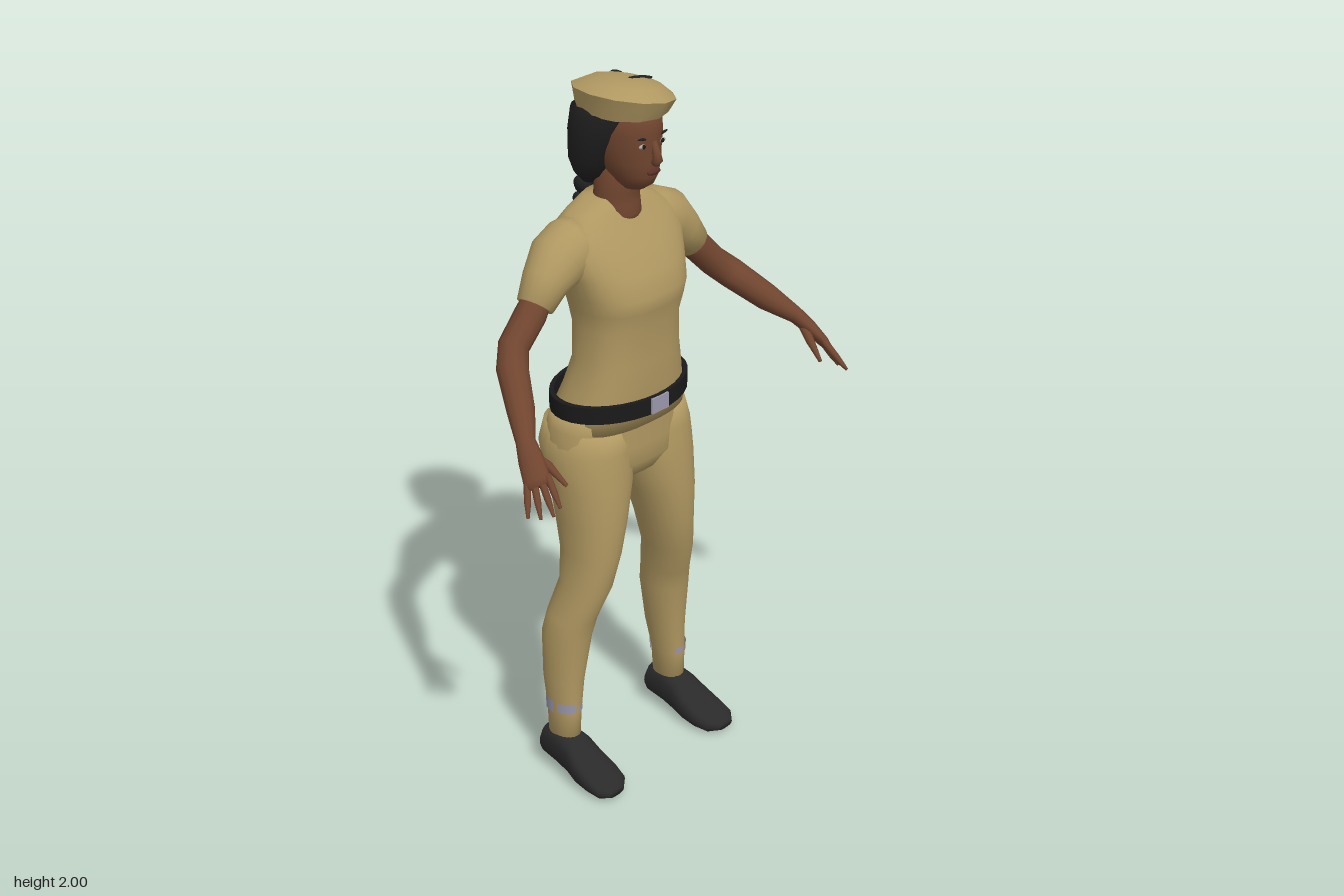
import * as THREE from 'three';
import { toCreasedNormals } from 'three/addons/utils/BufferGeometryUtils.js';

const V = (x, y, z) => new THREE.Vector3(x, y, z);

// Closed skin over rings of points, with both ends capped and faces outward
function skinRings(rings) {
  const n = rings[0].length, pos = [], idx = [];
  rings.forEach(r => r.forEach(p => pos.push(p.x, p.y, p.z)));
  for (let i = 0; i < rings.length - 1; i++) {
    for (let j = 0; j < n; j++) {
      const a = i * n + j, b = i * n + (j + 1) % n;
      idx.push(a, b, a + n, b, b + n, a + n);
    }
  }
  [0, rings.length - 1].forEach((i, end) => {
    const c = rings[i].reduce((s, p) => s.add(p), V(0, 0, 0)).divideScalar(n);
    const k = pos.length / 3;
    pos.push(c.x, c.y, c.z);
    for (let j = 0; j < n; j++) {
      const a = i * n + j, b = i * n + (j + 1) % n;
      if (end) idx.push(a, b, k); else idx.push(b, a, k);
    }
  });
  const at = i => V(pos[3 * i], pos[3 * i + 1], pos[3 * i + 2]);
  let volume = 0;
  for (let i = 0; i < idx.length; i += 3) volume += at(idx[i]).dot(at(idx[i + 1]).cross(at(idx[i + 2])));
  if (volume < 0) idx.reverse();
  const g = new THREE.BufferGeometry();
  g.setAttribute('position', new THREE.Float32BufferAttribute(pos, 3));
  g.setIndex(idx);
  g.computeVertexNormals();
  return g;
}

// Rounded sections [t, x0, x1, w0, w1] stacked along y (w = z) or along z (w = y)
function loft(rows, power = 2, n = 24, axis = 'y') {
  const bend = v => Math.sign(v) * Math.abs(v) ** (2 / power);
  return skinRings(rows.map(([t, x0, x1, w0, w1]) => Array.from({ length: n }, (_, j) => {
    const a = j / n * Math.PI * 2;
    const x = (x0 + x1) / 2 + (x1 - x0) / 2 * bend(Math.cos(a));
    const w = (w0 + w1) / 2 + (w1 - w0) / 2 * bend(Math.sin(a));
    return axis === 'y' ? V(x, t, w) : V(x, w, t);
  })));
}
const even = rows => rows.map(([y, h, z0, z1]) => [y, -h, h, z0, z1]);

// Limb through points [x, y, z, radius, thickness]
const across = V(0.62, -0.39, -0.68);
function limb(pts, n = 12) {
  const c = pts.map(p => V(p[0], p[1], p[2]));
  return skinRings(pts.map((p, i) => {
    const t = c[Math.min(i + 1, c.length - 1)].clone().sub(c[Math.max(i - 1, 0)]).normalize();
    const u = across.clone().addScaledVector(t, -across.dot(t)).normalize();
    const v = t.clone().cross(u);
    return Array.from({ length: n }, (_, j) => {
      const a = j / n * Math.PI * 2;
      return c[i].clone().addScaledVector(u, Math.cos(a) * p[3]).addScaledVector(v, Math.sin(a) * (p[4] ?? p[3]));
    });
  }));
}

function mirror(geo) {
  const g = geo.clone().scale(-1, 1, 1);
  g.setIndex(Array.from(g.index.array).reverse());
  return g;
}
const blob = (x, y, z, rx, ry, rz, tilt = 0) =>
  new THREE.SphereGeometry(1, 12, 8).scale(rx, ry, rz).rotateZ(tilt).translate(x, y, z);

export function createModel() {
  const model = new THREE.Group();
  const paint = (name, color, side = THREE.FrontSide) => {
    const m = new THREE.MeshStandardMaterial({ color, side });
    m.name = name;
    return m;
  };
  const khaki = paint('khaki', 0xb09861), skin = paint('skin', 0x70452f), hair = paint('hair', 0x202020);
  const black = paint('belt black', 0x1a1a1a), leather = paint('shoe leather', 0x2a2a2b);
  const silver = paint('silver', 0x9c98ae, THREE.DoubleSide), lip = paint('lip', 0x5a3027);
  const white = paint('eye white', 0xb0a49c);
  const add = (name, geo, mat) => {
    const m = new THREE.Mesh(geo, mat);
    m.name = name;
    model.add(m);
  };
  const pair = (name, geo, mat) => {
    add(name + 'Left', geo, mat);
    add(name + 'Right', mirror(geo), mat);
  };

  // Shirt and sleeves
  add('shirt', loft(even([
    [1.06, 0.203, -0.217, 0.036], [1.12, 0.19, -0.205, 0.042], [1.17, 0.174, -0.187, 0.05],
    [1.25, 0.156, -0.162, 0.05], [1.35, 0.151, -0.167, 0.054], [1.4, 0.16, -0.178, 0.067],
    [1.44, 0.17, -0.186, 0.072], [1.5, 0.185, -0.195, 0.05], [1.56, 0.205, -0.2, 0.016],
    [1.61, 0.195, -0.195, -0.015], [1.65, 0.135, -0.18, -0.042], [1.68, 0.075, -0.165, -0.055],
  ]), 2.5, 32), khaki);
  pair('sleeve', limb([
    [0.1, 1.575, -0.112, 0.075], [0.15, 1.563, -0.108, 0.083], [0.2, 1.545, -0.104, 0.08],
    [0.25, 1.502, -0.1, 0.062], [0.293, 1.452, -0.093, 0.049],
  ], 16), khaki);

  // Trousers
  add('hips', loft(even([
    [1.1, 0.2, -0.213, 0.034], [1.06, 0.212, -0.226, 0.034], [1, 0.224, -0.222, 0.033],
    [0.95, 0.215, -0.195, 0.033], [0.905, 0.12, -0.15, 0.01], [0.89, 0.05, -0.12, -0.02],
  ]), 2.4, 32), khaki);
  pair('trouserLeg', loft([
    [1.06, 0.01, 0.208, -0.222, 0.025], [1, 0.004, 0.226, -0.232, 0.034], [0.95, 0.004, 0.229, -0.216, 0.038],
    [0.9, 0.012, 0.227, -0.192, 0.042], [0.8, 0.045, 0.221, -0.165, 0.046], [0.7, 0.073, 0.215, -0.145, 0.04],
    [0.6, 0.1, 0.224, -0.136, 0.025], [0.5, 0.124, 0.248, -0.16, -0.01], [0.44, 0.131, 0.26, -0.17, -0.024],
    [0.3, 0.155, 0.256, -0.165, -0.04], [0.2, 0.174, 0.25, -0.151, -0.041], [0.12, 0.176, 0.25, -0.145, -0.045],
  ], 2.1), khaki);

  // Broken ankle bands: [start angle, arc, height, y]
  const bands = [[-0.5, 0.5, 0.02, 0.215], [0.25, 1.1, 0.03, 0.218], [1.6, 0.7, 0.04, 0.215], [2.7, 1, 0.07, 0.21]];
  bands.forEach(([start, arc, h, y], i) => pair('ankleBand' + i,
    new THREE.CylinderGeometry(1.03, 1, h, 8, 1, true, start, arc)
      .scale(0.041, 1, 0.059).translate(0.212, y, -0.097), silver));

  // Shoes
  pair('shoe', loft([
    [-0.165, 0.185, 0.245, 0.04, 0.09], [-0.15, 0.175, 0.255, 0.028, 0.125], [-0.09, 0.17, 0.263, 0.02, 0.135],
    [-0.04, 0.165, 0.268, 0.01, 0.122], [0, 0.16, 0.278, 0.002, 0.092], [0.05, 0.158, 0.282, 0, 0.066],
    [0.095, 0.168, 0.278, 0, 0.046], [0.12, 0.198, 0.254, 0.008, 0.03],
  ], 2.6, 20, 'z'), leather);

  // Belt standing off the waist, and buckle
  const strap = [[0.2, -0.024], [0.215, -0.024], [0.215, 0.024], [0.2, 0.024], [0.2, -0.024]];
  add('belt', toCreasedNormals(new THREE.LatheGeometry(strap.map(p => new THREE.Vector2(...p)), 32)
    .scale(1, 1, 0.7).translate(-0.003, 1.13, -0.08), 0.7), black);
  add('buckle', new THREE.BoxGeometry(0.062, 0.044, 0.009).translate(-0.005, 1.13, 0.07), silver);

  // Arms and hands
  pair('arm', limb([
    [0.265, 1.482, -0.1, 0.036], [0.31, 1.435, -0.092, 0.042], [0.375, 1.37, -0.088, 0.041],
    [0.415, 1.33, -0.052, 0.042], [0.468, 1.267, 0.03, 0.037], [0.515, 1.218, 0.095, 0.026, 0.023],
    [0.532, 1.188, 0.13, 0.033, 0.02], [0.55, 1.148, 0.17, 0.036, 0.015], [0.554, 1.138, 0.18, 0.03, 0.01],
  ]), skin);
  const tips = [[0.545, 1.1, 0.245], [0.565, 1.083, 0.242], [0.585, 1.073, 0.217], [0.598, 1.068, 0.185]];
  tips.forEach((tip, i) => {
    const base = V(0.548, 1.152, 0.168).addScaledVector(across, (i - 1.5) * 0.018);
    const mid = base.clone().lerp(V(...tip), 0.55);
    pair('finger' + i, limb([[...base.toArray(), 0.01], [...mid.toArray(), 0.009], [...tip, 0.004]], 8), skin);
  });
  pair('thumb', limb([
    [0.522, 1.195, 0.115, 0.014], [0.5, 1.168, 0.16, 0.012], [0.487, 1.125, 0.21, 0.005],
  ], 8), skin);

  // Neck and head
  add('neck', loft(even([
    [1.6, 0.055, -0.14, -0.03], [1.635, 0.064, -0.15, -0.022], [1.66, 0.066, -0.15, -0.03],
    [1.69, 0.06, -0.146, -0.03], [1.78, 0.058, -0.145, -0.02],
  ])), skin);
  add('head', loft(even([
    [1.712, 0.026, -0.06, 0.005], [1.73, 0.043, -0.085, 0.032], [1.755, 0.06, -0.11, 0.042],
    [1.79, 0.073, -0.14, 0.046], [1.83, 0.081, -0.16, 0.046], [1.87, 0.084, -0.17, 0.05],
    [1.93, 0.08, -0.17, 0.045],
  ])), skin);
  add('nose', limb([[0, 1.85, 0.042, 0.008], [0, 1.82, 0.052, 0.011], [0, 1.803, 0.057, 0.013], [0, 1.793, 0.046, 0.012]]), skin);
  add('mouth', blob(0, 1.768, 0.043, 0.024, 0.008, 0.008), lip);
  pair('eye', blob(0.034, 1.842, 0.037, 0.014, 0.006, 0.005), white);
  pair('pupil', blob(0.034, 1.842, 0.041, 0.006, 0.006, 0.003), black);
  pair('eyebrow', blob(0.036, 1.862, 0.039, 0.019, 0.0035, 0.004, 0.15), hair);

  // Hair and braid
  add('hair', loft(even([
    [1.7, 0.045, -0.19, -0.125], [1.735, 0.085, -0.2, -0.075], [1.78, 0.108, -0.21, -0.045],
    [1.85, 0.115, -0.212, -0.005], [1.91, 0.113, -0.205, 0.02], [1.94, 0.09, -0.17, 0.02],
  ])), hair);
  const braidPath = new THREE.CatmullRomCurve3([
    V(0, 1.76, -0.19), V(0, 1.66, -0.197), V(0, 1.52, -0.217), V(0, 1.42, -0.22), V(0, 1.335, -0.21)]);
  for (let i = 0; i < 20; i++) {
    const p = braidPath.getPointAt(i / 19), r = 0.028 - 0.018 * (i / 19) ** 2, s = i % 2 ? 1 : -1;
    add('braidStrand' + i, blob(p.x + s * r * 0.5, p.y, p.z, r * 0.75, r * 1.25, r * 0.9, s * -0.55), hair);
  }
  add('braidTip', new THREE.ConeGeometry(0.012, 0.05, 8).rotateX(Math.PI).translate(0, 1.325, -0.21), hair);

  // Soft cap leaning to the left, with hair showing through the crown
  const cap = loft(even([
    [1.912, 0.105, -0.2, 0.06], [1.958, 0.12, -0.207, 0.083], [1.984, 0.085, -0.155, 0.045], [1.994, 0.045, -0.11, 0],
  ]), 2, 12);
  const cp = cap.attributes.position;
  for (let i = 0; i < cp.count; i++) {
    if (cp.getY(i) > 1.93) cp.setY(i, cp.getY(i) - 0.15 * cp.getX(i));
  }
  add('cap', toCreasedNormals(cap, 0.6), khaki);
  add('crownHairFront', blob(0.04, 1.985, -0.042, 0.045, 0.005, 0.013, -0.2), hair);
  add('crownHairBack', blob(0.05, 1.975, -0.133, 0.014, 0.006, 0.018, -0.25), hair);
  return model;
}
